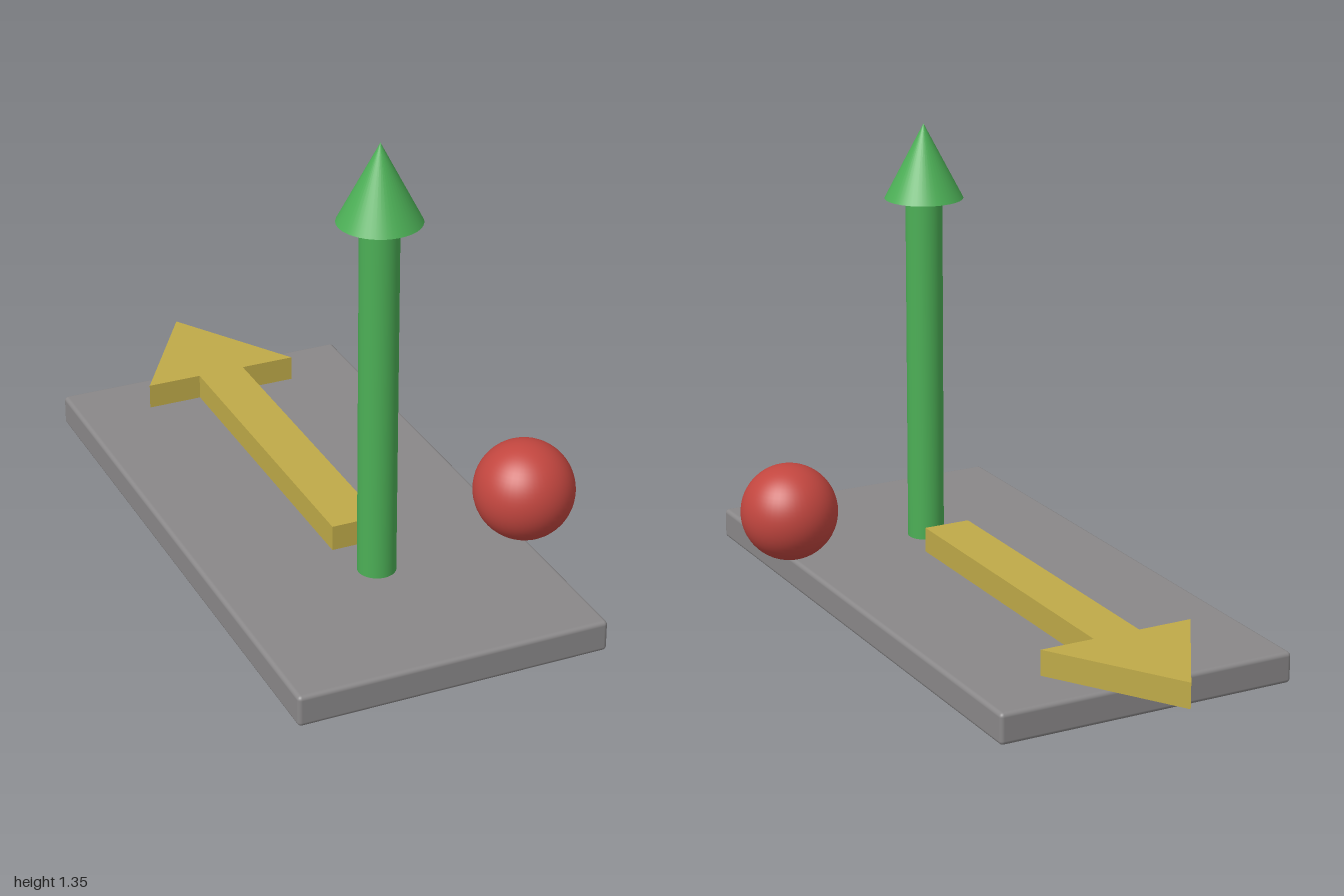
import * as THREE from 'three';
import { RoundedBoxGeometry } from 'three/addons/geometries/RoundedBoxGeometry.js';

const mat = (name, color) => {
  const m = new THREE.MeshStandardMaterial({ color });
  m.name = name;
  return m;
};

export function createModel() {
  const model = new THREE.Group();
  model.name = 'directionGizmo';
  const green = mat('green', 0x4caf56);
  const add = (name, geometry, material, x, y, z) => {
    const mesh = new THREE.Mesh(geometry, material);
    mesh.name = name;
    mesh.position.set(x, y, z);
    model.add(mesh);
    return mesh;
  };
  const baseTop = 0.09, cx = -0.073, poleZ = 0.504;

  // Slab with softly rounded edges
  add('base', new RoundedBoxGeometry(0.896, baseTop, 1.8, 3, 0.012),
    mat('grey', 0x8a8889), cx, baseTop / 2, 0.1);

  // Upright arrow: pole and conical tip
  const tipBase = 1.13, tipHeight = 0.22;
  add('uprightPole', new THREE.CylinderGeometry(0.054, 0.054, tipBase - baseTop, 48),
    green, cx, (tipBase + baseTop) / 2, poleZ);
  add('uprightTip', new THREE.ConeGeometry(0.115, tipHeight, 48),
    green, cx, tipBase + tipHeight / 2, poleZ);

  // Flat arrow lying on the slab, pointing backwards
  const half = 0.071, wing = 0.233, tail = -0.367, neck = 0.623, tip = 1;
  const outline = new THREE.Shape([
    [-half, tail], [half, tail], [half, neck], [wing, neck],
    [0, tip], [-wing, neck], [-half, neck],
  ].map(([x, y]) => new THREE.Vector2(x, y)));
  const arrow = new THREE.ExtrudeGeometry(outline, { depth: 0.074, bevelEnabled: false });
  arrow.rotateX(-Math.PI / 2);
  add('flatArrow', arrow, mat('yellow', 0xbfaa48), cx, baseTop, 0);

  // Ball beside the pole, at the edge of the slab
  add('ball', new THREE.SphereGeometry(0.143, 48, 32), mat('red', 0xc2463f), 0.376, 0.236, poleZ);

  return model;
}
